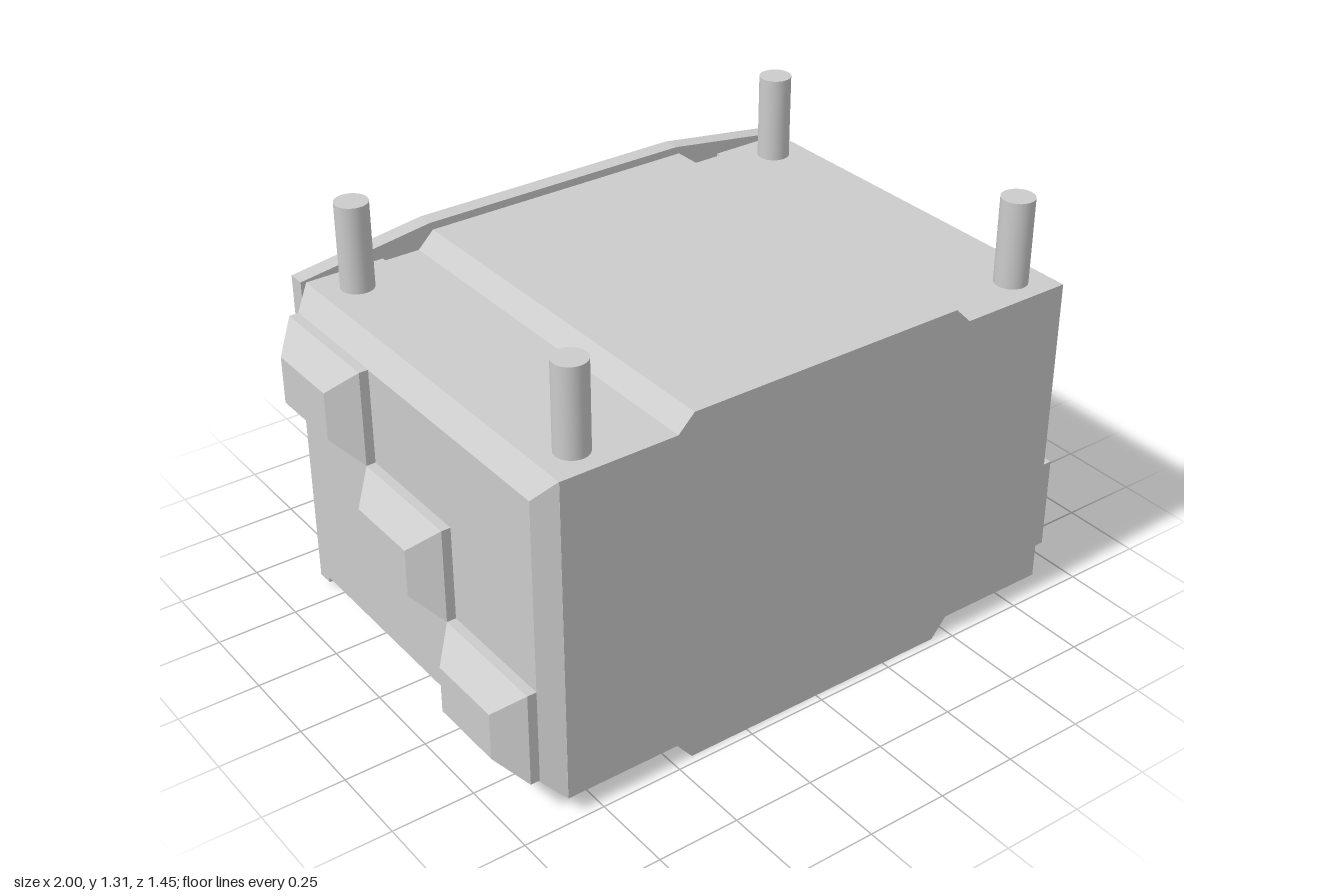
import * as THREE from 'three';

const grey = new THREE.MeshStandardMaterial({ color: 0xcccccc, flatShading: true });

// Solid through matching counter-clockwise outlines; each section is [depth, [[x, y], ...]] along local +z
function loft(sections) {
  const pos = [];
  const tri = (...pts) => pts.forEach((p) => pos.push(...p));
  const rings = sections.map(([d, pts]) => pts.map(([x, y]) => [x, y, d]));
  for (let s = 0; s < rings.length - 1; s++) {
    const a = rings[s], b = rings[s + 1], n = a.length;
    for (let i = 0; i < n; i++) {
      const j = (i + 1) % n;
      tri(a[i], a[j], b[j]);
      tri(a[i], b[j], b[i]);
    }
  }
  const cap = (ring, flip) => {
    const faces = THREE.ShapeUtils.triangulateShape(ring.map((p) => new THREE.Vector2(p[0], p[1])), []);
    for (const [i, j, k] of faces) flip ? tri(ring[i], ring[k], ring[j]) : tri(ring[i], ring[j], ring[k]);
  };
  cap(rings[0], true);
  cap(rings[rings.length - 1], false);
  const g = new THREE.BufferGeometry();
  g.setAttribute('position', new THREE.Float32BufferAttribute(pos, 3));
  g.computeVertexNormals();
  return g;
}

const rect = (x0, x1, y0, y1) => [[x0, y0], [x1, y0], [x1, y1], [x0, y1]];

// Right half of an outline, listed bottom to top, mirrored into a closed outline
const mirrored = (half) => [...half, ...half.slice().reverse().map(([x, y]) => [-x, y])];

export function createModel() {
  const model = new THREE.Group();
  const add = (name, geometry, parent = model) => {
    const mesh = new THREE.Mesh(geometry, grey);
    mesh.name = name;
    parent.add(mesh);
    return mesh;
  };

  // Main body with raised strips along the top and bottom
  const bodyOutline = mirrored([
    [0.44, 0], [0.49, 0.06], [0.845, 0.06], [0.845, 1.05], [0.49, 1.05], [0.44, 1.1],
  ]);
  add('body', loft([[-0.52, bodyOutline], [0.725, bodyOutline]]));

  // Bevelled side panels, each with three stepped blocks
  for (const side of [1, -1]) {
    const group = new THREE.Group();
    group.name = side > 0 ? 'leftSide' : 'rightSide';
    group.rotation.y = side * Math.PI / 2;
    model.add(group);
    const span = (z0, z1, y0, y1) => {
      const [a, b] = [-side * z0, -side * z1].sort((p, q) => p - q);
      return rect(a, b, y0, y1);
    };
    const base = span(-0.535, 0.724, 0.06, 1.05);
    add('sidePanel', loft([[0.6, base], [0.845, base], [0.9, span(-0.49, 0.675, 0.11, 0.99)]]), group);
    for (let i = 0; i < 3; i++) {
      const z = 0.675 - i * 0.388, y = 0.115 + i * 0.292;
      const foot = span(z - 0.388, z, y, y + 0.292);
      const tip = span(z - 0.315, z - 0.073, y + 0.073, y + 0.219);
      add('sideBlock', loft([[0.89, foot], [0.928, foot], [1, tip]]), group);
    }
  }

  // Back assembly, modelled facing +z and turned around
  const back = new THREE.Group();
  back.name = 'back';
  back.rotation.y = Math.PI;
  model.add(back);

  const plate = mirrored([[0.862, 0.03], [0.862, 1.055], [0.44, 1.115]]);
  add('backPlate', loft([[0.535, plate], [0.588, plate]]), back);

  // Raised armour with zigzag sides and sloping edges
  const foot = mirrored([
    [0.44, 0.03], [0.69, 0.18], [0.5, 0.36], [0.62, 0.58], [0.48, 1.0], [0.56, 1.08], [0.44, 1.113],
  ]);
  const face = mirrored([
    [0.42, 0.13], [0.6, 0.237], [0.42, 0.395], [0.54, 0.58], [0.4, 0.93], [0.48, 1.02], [0.4, 1.04],
  ]);
  add('backArmour', loft([[0.586, foot], [0.673, face]]), back);

  const bar = rect(-0.298, 0.298, 0.485, 0.672);
  add('backBar', loft([[0.66, bar], [0.715, bar], [0.725, rect(-0.288, 0.288, 0.495, 0.662)]]), back);

  // Four upright pegs on the top corners
  for (const x of [-0.74, 0.74]) {
    for (const z of [-0.43, 0.625]) {
      const peg = add('peg', new THREE.CylinderGeometry(0.049, 0.049, 0.27, 32));
      peg.material = new THREE.MeshStandardMaterial({ color: 0xcccccc });
      peg.position.set(x, 1.177, z);
    }
  }
  return model;
}
